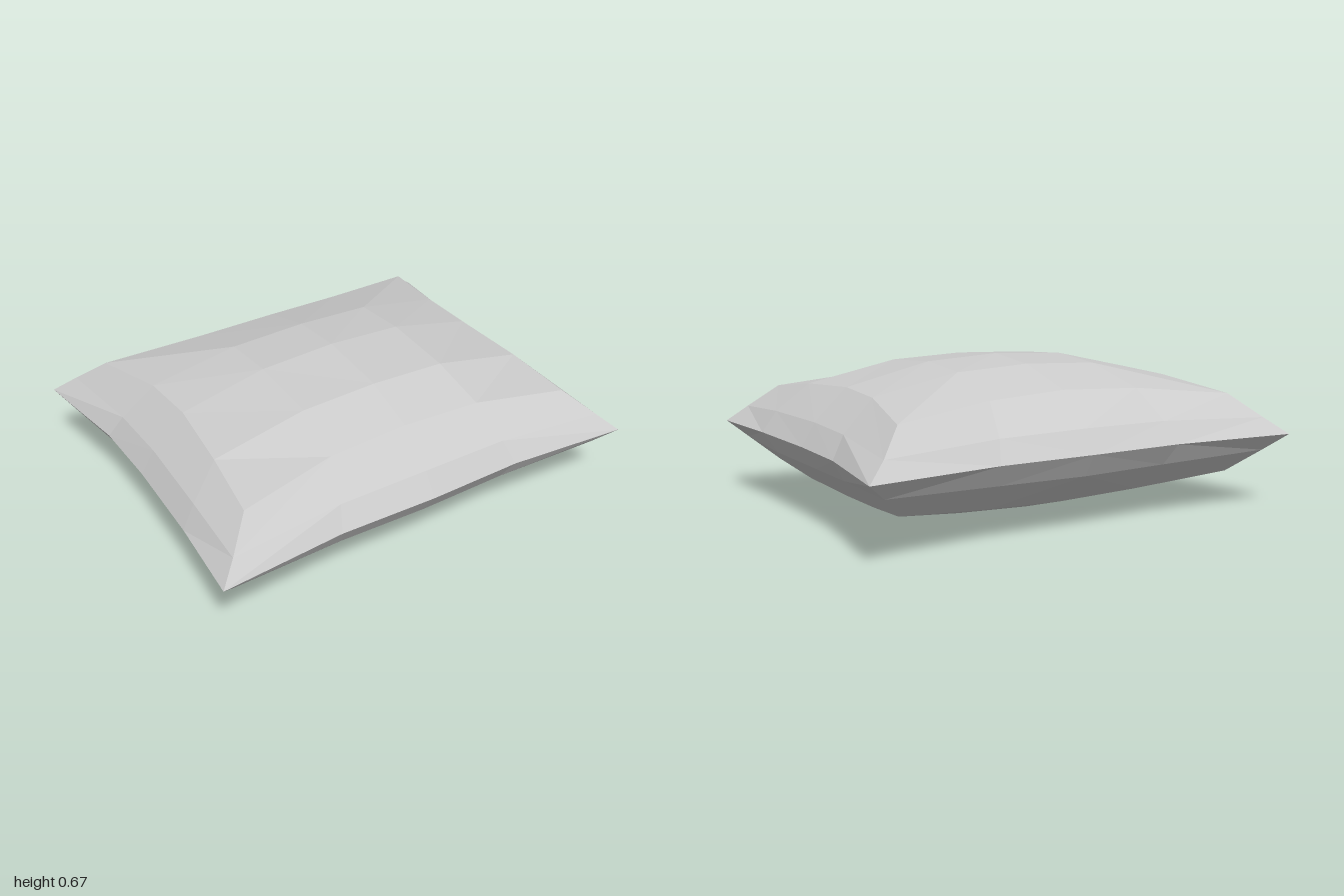
import * as THREE from 'three';

const SEAM = 0.338; // height of the seam; the underside mirrors the top about it

// Right half of the cushion's crown, rows from back to front, points from the middle outward
const crown = [
  [[0, 0.57, -0.53], [0.36, 0.555, -0.55], [0.8, 0.51, -0.63]],
  [[0, 0.65, -0.255], [0.34, 0.635, -0.26], [0.73, 0.56, -0.27]],
  [[0, 0.672, 0], [0.34, 0.655, 0], [0.72, 0.57, 0]],
  [[0, 0.645, 0.33], [0.34, 0.632, 0.33], [0.75, 0.55, 0.335]],
  [[0, 0.57, 0.56], [0.36, 0.555, 0.565], [0.78, 0.51, 0.63]],
];

// Half rings around the crown, from the back middle past both corners to the front middle
const shoulder = [
  [0, 0.435, -0.695], [0.4, 0.43, -0.69], [0.91, 0.41, -0.74],
  [0.87, 0.43, -0.3], [0.865, 0.435, 0], [0.88, 0.43, 0.4],
  [0.89, 0.41, 0.74], [0.4, 0.43, 0.705], [0, 0.435, 0.71],
];
const seam = [
  [0, -0.755], [0.43, -0.75], [1, -0.81],
  [0.93, -0.33], [0.925, 0], [0.94, 0.42],
  [0.97, 0.81], [0.43, 0.765], [0, 0.775],
].map(([x, z]) => [x, SEAM, z]);

function coverGeometry(sy) {
  const positions = [];
  const [back, r1, r2, r3, front] = crown;
  const rim = [...back, r1[2], r2[2], r3[2], ...[...front].reverse()];

  for (const sx of [1, -1]) {
    const put = ([x, y, z]) => positions.push(x * sx, SEAM + (y - SEAM) * sy, z);
    const tri = (a, b, c) => (sx * sy > 0 ? [a, b, c] : [a, c, b]).forEach(put);
    const quad = (a, b, c, d) => { tri(a, b, d); tri(b, c, d); };

    // domed panels
    for (let j = 0; j < 4; j++) {
      for (let i = 0; i < 2; i++) {
        quad(crown[j][i], crown[j + 1][i], crown[j + 1][i + 1], crown[j][i + 1]);
      }
    }
    // sloping sides down to the seam
    for (const [inner, outer] of [[rim, shoulder], [shoulder, seam]]) {
      for (let k = 0; k < 8; k++) quad(inner[k], inner[k + 1], outer[k + 1], outer[k]);
    }
  }
  const geometry = new THREE.BufferGeometry();
  geometry.setAttribute('position', new THREE.Float32BufferAttribute(positions, 3));
  geometry.computeVertexNormals();
  return geometry;
}

export function createModel() {
  const cushion = new THREE.Group();
  cushion.name = 'cushion';
  const material = new THREE.MeshStandardMaterial({ color: 0xcccccc, flatShading: true });
  for (const [name, sy] of [['topCover', 1], ['bottomCover', -1]]) {
    const cover = new THREE.Mesh(coverGeometry(sy), material);
    cover.name = name;
    cushion.add(cover);
  }
  return cushion;
}
